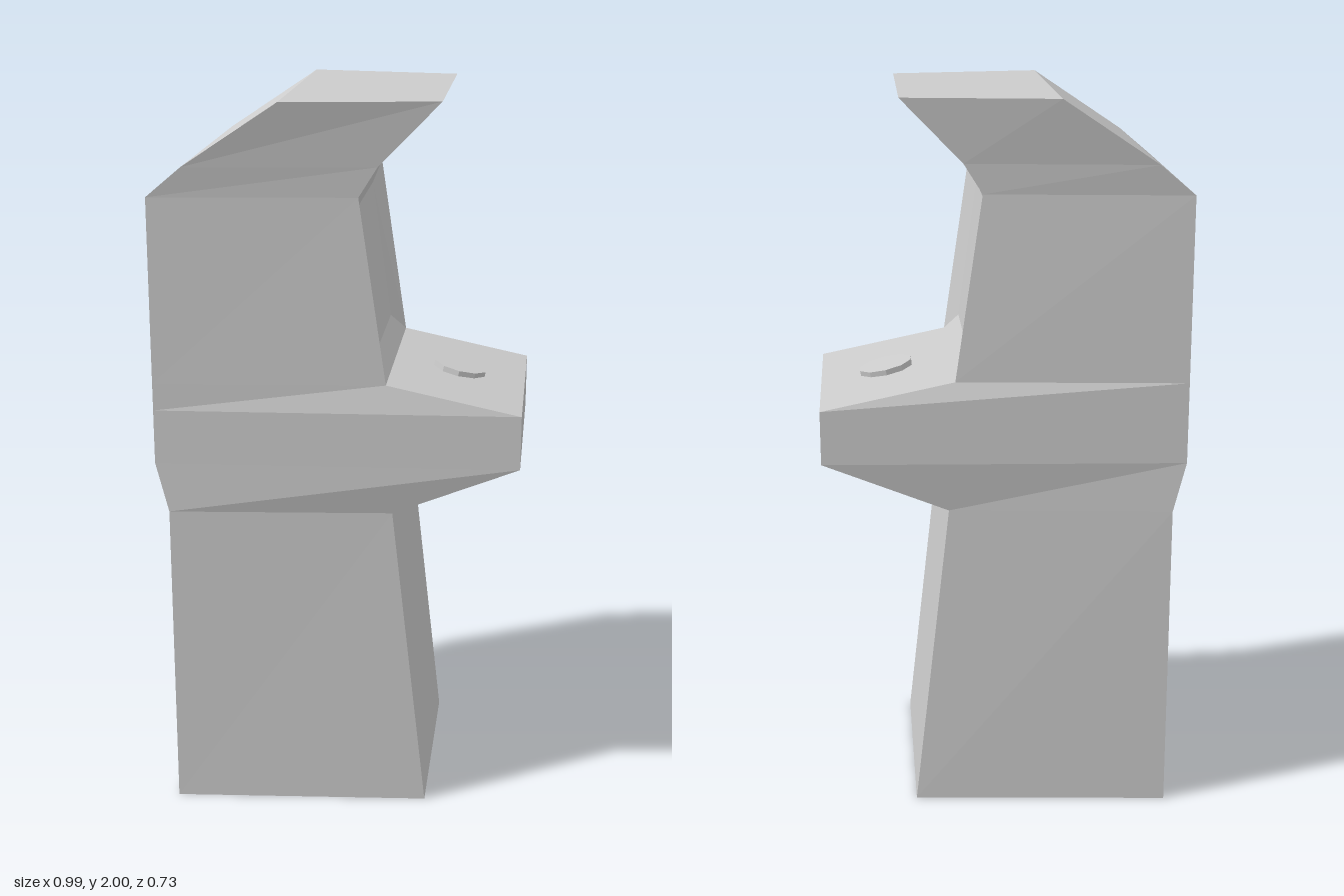
import * as THREE from 'three';

const material = new THREE.MeshStandardMaterial({ color: 0xcccccc, flatShading: true });

// Collects quads (corners counter-clockwise from outside) into one faceted mesh
function quadMesh(name, quads) {
  const pos = [];
  for (const [a, b, c, d] of quads) pos.push(...a, ...b, ...c, ...a, ...c, ...d);
  const geo = new THREE.BufferGeometry();
  geo.setAttribute('position', new THREE.Float32BufferAttribute(pos, 3));
  geo.computeVertexNormals();
  const mesh = new THREE.Mesh(geo, material);
  mesh.name = name;
  return mesh;
}

export function createModel() {
  const group = new THREE.Group();
  group.name = 'arcadeCabinet';

  // Cabinet side profile, bottom to top: [height, back x, front x]
  const levels = [
    [0, -0.46, 0.25],
    [0.88, -0.46, 0.15],
    [1.02, -0.495, 0.495],
    [1.17, -0.495, 0.495],
    [1.245, -0.495, 0.13],
    [1.75, -0.495, 0.055],
    [1.83, -0.4, 0.105],
    [2, -0.145, 0.27],
  ];
  const screenBand = 4;
  const zFront = 0.304, zBack = 0.363; // the body narrows towards its front
  const rings = levels.map(([y, xb, xf]) => [
    [xf, y, zFront], [xf, y, -zFront], [xb, y, -zBack], [xb, y, zBack],
  ]);

  // Body walls, leaving the screen opening free, plus floor and roof
  const walls = [];
  for (let k = 0; k < rings.length - 1; k++) {
    for (let i = 0; i < 4; i++) {
      if (k === screenBand && i === 0) continue;
      const j = (i + 1) % 4;
      walls.push([rings[k][i], rings[k][j], rings[k + 1][j], rings[k + 1][i]]);
    }
  }
  walls.push([...rings[0]].reverse(), rings[rings.length - 1]);
  group.add(quadMesh('cabinetBody', walls));

  // Bevelled frame leading in to the sunken screen
  const lower = rings[screenBand], upper = rings[screenBand + 1];
  const outer = [lower[0], lower[1], upper[1], upper[0]];
  const inner = [
    [0.09, 1.3, 0.24], [0.09, 1.3, -0.24], [0.035, 1.695, -0.24], [0.035, 1.695, 0.24],
  ];
  const bevels = outer.map((p, i) => {
    const j = (i + 1) % 4;
    return [p, outer[j], inner[j], inner[i]];
  });
  group.add(quadMesh('screenFrame', bevels));
  group.add(quadMesh('screen', [inner]));

  // Round button lying on the sloping control panel
  const button = new THREE.Mesh(new THREE.CylinderGeometry(0.077, 0.077, 0.02, 10), material);
  button.name = 'controlButton';
  button.position.set(0.311, 1.213, -0.01);
  button.rotation.z = -0.22;
  group.add(button);

  return group;
}
